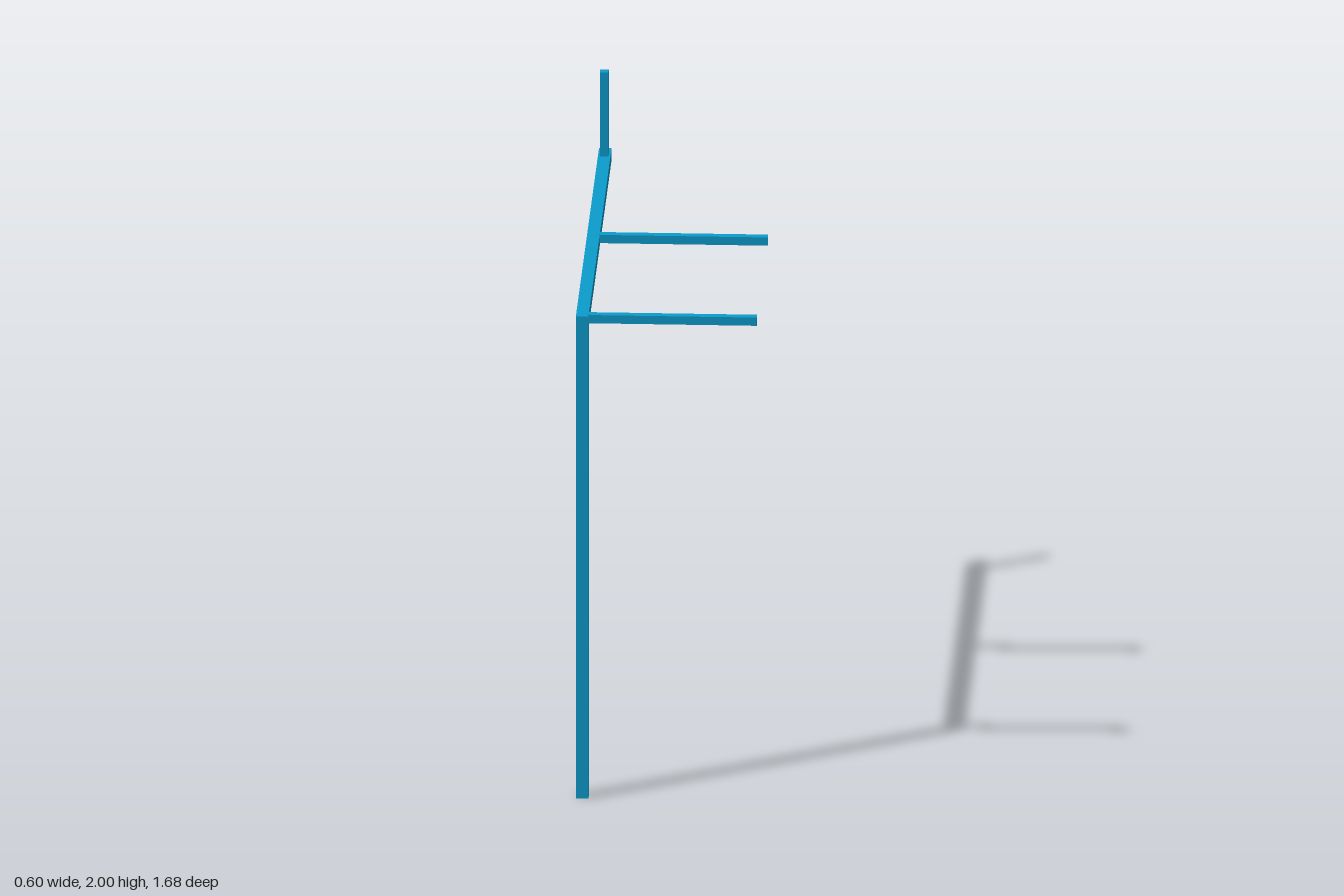
import * as THREE from 'three';

export function createModel() {
  const group = new THREE.Group();
  const material = new THREE.MeshStandardMaterial({ color: 0x0c9ccc, flatShading: true });

  // Square bar given by its minimum and maximum corners
  function bar(name, min, max) {
    const size = max.map((v, i) => v - min[i]);
    const mesh = new THREE.Mesh(new THREE.BoxGeometry(...size), material);
    mesh.name = name;
    mesh.position.set(...max.map((v, i) => (v + min[i]) / 2));
    group.add(mesh);
  }

  const left = -0.301, right = -0.259, top = 1.703, thick = 0.042;

  // Tall post at the front, with the long beam running back from its top
  bar('post', [left, 0, 0.797], [right, top, 0.839]);
  bar('beam', [left, top - thick, -0.839], [right, top, 0.797]);

  // Two thinner arms reaching sideways, one from the post and one mid-beam
  const armHalf = 0.0145;
  [['frontArm', 0.804], ['middleArm', 0.006]].forEach(([name, z]) =>
    bar(name, [right, 1.672, z - armHalf], [0.301, 1.701, z + armHalf]));

  // Short upright near the back end of the beam
  bar('rearUpright', [-0.2945, top, -0.783], [-0.2655, 2, -0.754]);

  return group;
}
